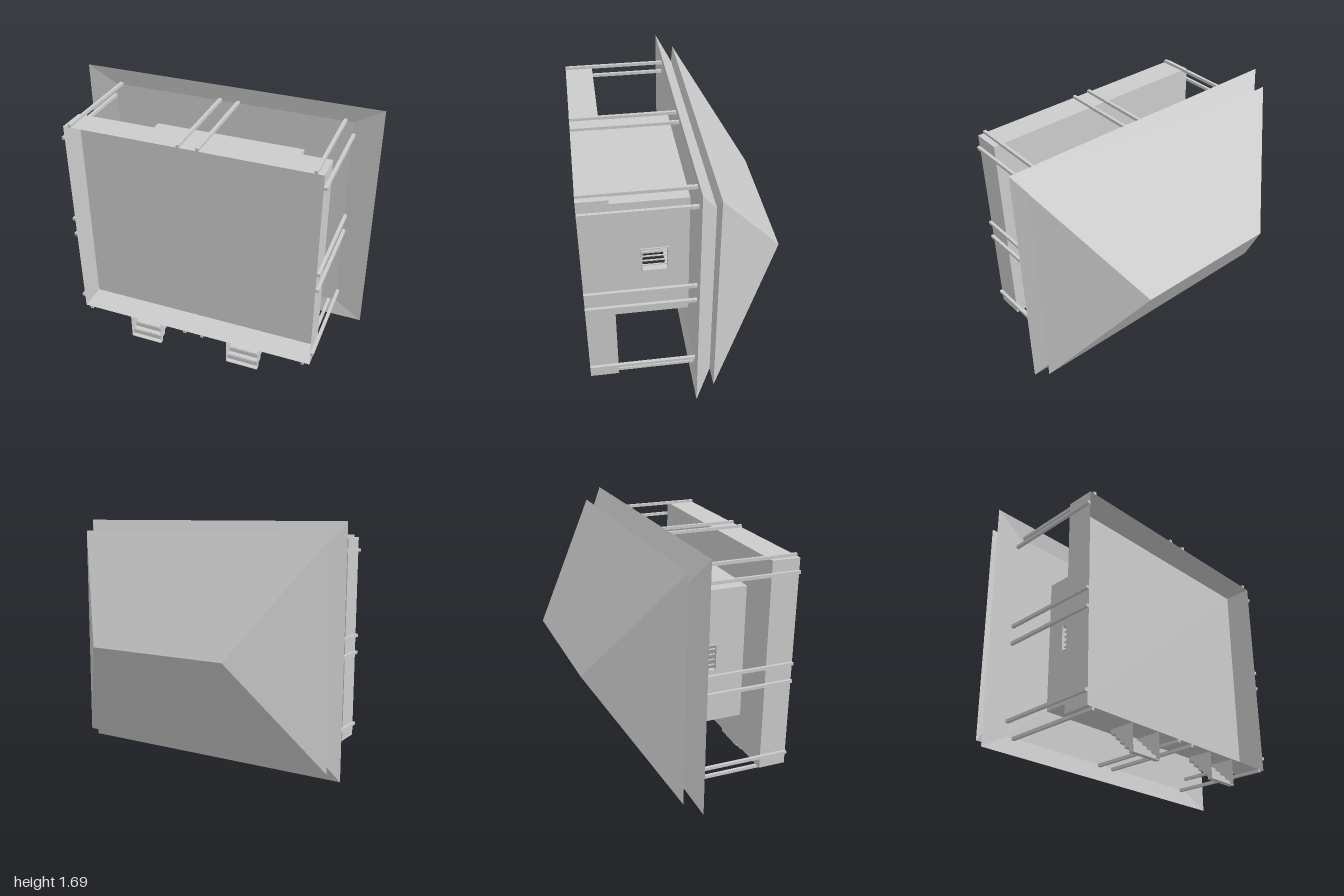
import * as THREE from 'three';

// The pavilion lies on its back: its roof points to -z, its steps to -y.
const CY = 0.873; // middle height of the plan
const FLOOR = 0.45, BASE = 0.633, EAVE = -0.03, CEILING = -0.048;
const mat = new THREE.MeshStandardMaterial({ color: 0xcccccc, flatShading: true, side: THREE.DoubleSide });

function add(parent, name, geometry) {
  const mesh = new THREE.Mesh(geometry, mat);
  mesh.name = name;
  parent.add(mesh);
  return mesh;
}

// Box given by its limits
function box(parent, name, x0, x1, y0, y1, z0, z1) {
  const mesh = add(parent, name, new THREE.BoxGeometry(x1 - x0, y1 - y0, z1 - z0));
  mesh.position.set((x0 + x1) / 2, (y0 + y1) / 2, (z0 + z1) / 2);
  return mesh;
}

// Skin through rectangles [half width, half height, z]
function loftRects(sections) {
  const corner = ([w, h, z], i) => [[w, h, z], [-w, h, z], [-w, -h, z], [w, -h, z]][i % 4];
  const pos = [];
  for (let s = 0; s < sections.length - 1; s++) {
    for (let i = 0; i < 4; i++) {
      const a = corner(sections[s], i), b = corner(sections[s + 1], i);
      const c = corner(sections[s + 1], i + 1), d = corner(sections[s], i + 1);
      pos.push(...a, ...b, ...c, ...a, ...c, ...d);
    }
  }
  const g = new THREE.BufferGeometry();
  g.setAttribute('position', new THREE.Float32BufferAttribute(pos, 3));
  g.computeVertexNormals();
  return g;
}

// Wall panel in local (u, v): u along the wall, v = world z, local z = outward
function wall(name, halfLength, windows, hasDoor) {
  const T = 0.02, W0 = 0.09, W1 = 0.25;
  const group = new THREE.Group();
  group.name = name;
  const rect = (Type, u0, u1, v0, v1) => new Type([[u0, v0], [u1, v0], [u1, v1], [u0, v1]]
    .map(([u, v]) => new THREE.Vector2(u, v)));
  const shape = rect(THREE.Shape, -halfLength, halfLength, CEILING, FLOOR);
  for (const u of windows) shape.holes.push(rect(THREE.Path, u - 0.085, u + 0.085, W0, W1));
  if (hasDoor) shape.holes.push(rect(THREE.Path, -0.085, 0.085, 0.045, FLOOR - 0.003));
  const panel = add(group, 'wallPanel', new THREE.ExtrudeGeometry(shape, { depth: T, bevelEnabled: false }));
  panel.position.z = -T;

  // Barred windows
  for (const u of windows) {
    for (const v of [W0 - 0.01, W1]) box(group, 'windowRail', u - 0.097, u + 0.097, v, v + 0.01, -T, 0.012);
    for (const s of [-1, 1]) box(group, 'windowJamb', u + s * 0.088 - 0.004, u + s * 0.088 + 0.004, W0, W1, -T, 0.008);
    for (let i = 0; i < 4; i++) {
      const c = u + (i - 1.5) * 0.036;
      box(group, 'windowBar', c - 0.003, c + 0.003, W0, W1, -0.015, -0.005);
    }
  }
  // Door surround
  if (hasDoor) {
    for (const s of [-1, 1]) box(group, 'doorJamb', s * 0.09 - 0.008, s * 0.09 + 0.008, 0.03, FLOOR, -T, 0.01);
    box(group, 'doorLintel', -0.098, 0.098, 0.03, 0.045, -T, 0.01);
  }
  return group;
}

// Flight of steps, hollow underneath, between two side panels
function flight(x) {
  const RISE = 0.035, TOP = 0.173, W = 0.11, T = 0.004;
  const group = new THREE.Group();
  group.name = 'steps';
  const profile = new THREE.Shape();
  profile.moveTo(BASE, TOP);
  profile.lineTo(BASE, 0);
  box(group, 'tread', -W, W, 0, T, 0.6, BASE);
  for (let i = 0; i < 5; i++) {
    const z = 0.6 - i * RISE, y0 = i * RISE, y1 = Math.min(y0 + RISE, TOP);
    profile.lineTo(z, y0);
    profile.lineTo(z, y1);
    box(group, 'riser', -W, W, y0, y1, z, z + T);
    if (i < 4) box(group, 'tread', -W, W, y1, y1 + T, z - RISE, z);
  }
  for (const s of [-1, 1]) {
    const side = add(group, 'sidePanel', new THREE.ShapeGeometry(profile));
    side.rotation.y = -Math.PI / 2;
    side.position.x = s * W;
  }
  group.position.x = x;
  return group;
}

export function createModel() {
  const model = new THREE.Group();
  model.name = 'pavilion';

  // Raised base, open underneath
  const base = add(model, 'base', loftRects([[0, 0, FLOOR], [0.81, 0.7, FLOOR], [0.81, 0.7, BASE]]));
  base.geometry.scale(1, 1, 1);
  base.position.y = CY;

  for (const s of [-1, 1]) model.add(flight(s * 0.35));

  // Room walls
  const room = new THREE.Group();
  room.name = 'room';
  const hx = 0.515, hy = 0.457;
  const v = (x, y, z) => new THREE.Vector3(x, y, z);
  const place = (w, u, out, at) => {
    w.quaternion.setFromRotationMatrix(new THREE.Matrix4().makeBasis(u, v(0, 0, 1), out));
    w.position.copy(at);
    room.add(w);
  };
  place(wall('leftWall', hy, [0]), v(0, 1, 0), v(1, 0, 0), v(hx, 0, 0));
  place(wall('rightWall', hy, [0]), v(0, -1, 0), v(-1, 0, 0), v(-hx, 0, 0));
  place(wall('doorWall', hx, [-0.3, 0.3], true), v(1, 0, 0), v(0, -1, 0), v(0, -hy, 0));
  place(wall('rearWall', hx, []), v(-1, 0, 0), v(0, 1, 0), v(0, hy, 0));
  room.position.y = CY - 0.003;
  model.add(room);

  // Slim posts around the base, one near each corner and a pair at mid-side
  const R = 0.01;
  const post = (x, y) => box(model, 'post', x - R, x + R, y - R, y + R, CEILING, BASE);
  for (const s of [-1, 1]) {
    for (const x of [-0.768, -0.058, 0.064, 0.762]) post(x, CY + s * 0.708);
    for (const y of [-0.612, -0.098, 0.022, 0.615]) post(s * 0.82, CY + y);
  }

  // Two-tier hipped roof: flat ceiling, sloping soffit, lower tier, upper eave, ridge
  const roof = add(model, 'roof', loftRects([
    [0, 0, CEILING], [0.81, 0.7, CEILING], [1, 0.815, EAVE],
    [0.895, 0.65, -0.13], [0.957, 0.738, -0.147], [0.49, 0, -0.635],
  ]));
  roof.position.y = CY;

  return model;
}
